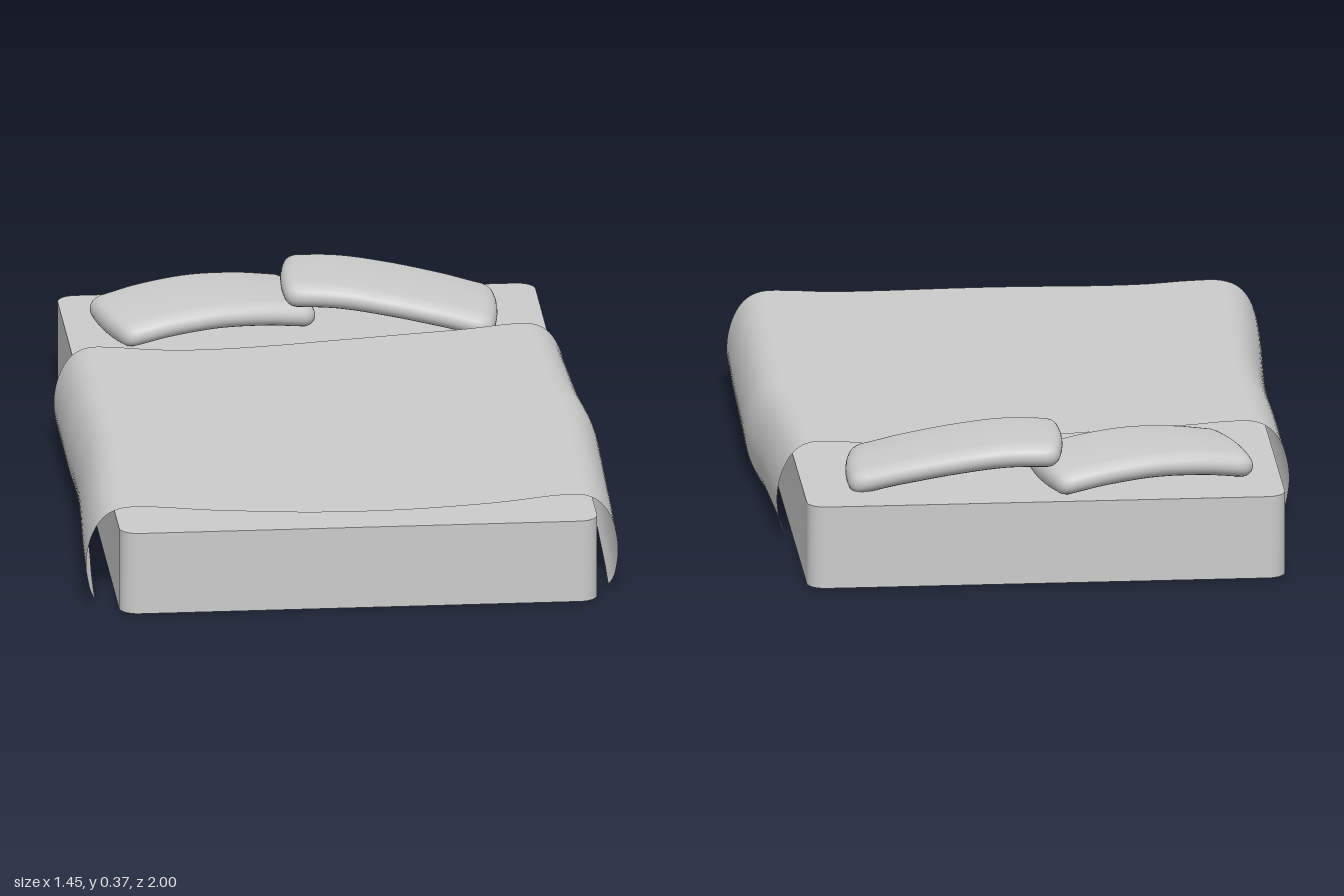
import * as THREE from 'three';
import { mergeVertices, toCreasedNormals } from 'three/addons/utils/BufferGeometryUtils.js';

const material = new THREE.MeshStandardMaterial({ color: 0xcccccc, side: THREE.DoubleSide });

function addMesh(parent, name, geometry) {
  const mesh = new THREE.Mesh(geometry, material);
  mesh.name = name;
  parent.add(mesh);
}

function surface(positions, index) {
  const g = new THREE.BufferGeometry();
  g.setAttribute('position', new THREE.Float32BufferAttribute(positions, 3));
  g.setIndex(index);
  g.computeVertexNormals();
  return g;
}

// Smooth function through evenly spaced values over [from, to]
function smoothCurve(from, to, values) {
  const spline = new THREE.SplineCurve(values.map((v, i) => new THREE.Vector2(i, v)));
  return x => spline.getPoint(THREE.MathUtils.clamp((x - from) / (to - from), 0, 1)).y;
}

// Mattress: rounded rectangle, open underneath
function createMattress() {
  const group = new THREE.Group();
  group.name = 'mattress';
  const w = 0.645, d = 1, r = 0.05, h = 0.228;
  const shape = new THREE.Shape();
  [[1, 1], [-1, 1], [-1, -1], [1, -1]].forEach(([sx, sy], i) => {
    shape.absarc(sx * (w - r), sy * (d - r), r, i * Math.PI / 2, (i + 1) * Math.PI / 2, false);
  });
  const top = new THREE.ShapeGeometry(shape, 4);
  top.rotateX(-Math.PI / 2).translate(0, h, 0);
  addMesh(group, 'mattressTop', top);

  const points = shape.getPoints(4), n = points.length;
  const positions = [], index = [];
  points.forEach((p, i) => {
    positions.push(p.x, 0, -p.y, p.x, h, -p.y);
    const a = 2 * i, b = 2 * ((i + 1) % n);
    index.push(a, b, b + 1, a, b + 1, a + 1);
  });
  addMesh(group, 'mattressSides', toCreasedNormals(surface(positions, index), 0.6));
  return group;
}

// Blanket: thin sheet with a draped cross-section and wavy borders
function createBlanket() {
  const half = [[0.2, 0.257], [0.4, 0.262], [0.54, 0.272], [0.62, 0.271], [0.67, 0.245],
    [0.702, 0.19], [0.715, 0.12], [0.707, 0.05], [0.69, 0.008]];
  const section = new THREE.SplineCurve([
    ...half.map(([x, y]) => new THREE.Vector2(-x, y)).reverse(),
    new THREE.Vector2(0, 0.256),
    ...half.map(([x, y]) => new THREE.Vector2(x, y)),
  ]).getPoints(90);
  const headEdge = smoothCurve(-0.7, 0.7, [-0.44, -0.427, -0.428, -0.455, -0.49, -0.517, -0.53, -0.53]);
  const footEdge = smoothCurve(-0.7, 0.7, [0.91, 0.915, 0.93, 0.948, 0.948, 0.932, 0.912, 0.908]);
  const leftReach = smoothCurve(-0.5, 0.9, [0.69, 0.697, 0.706, 0.722, 0.72, 0.716, 0.712, 0.706]);
  const rightReach = smoothCurve(-0.5, 0.9, [0.70, 0.70, 0.70, 0.697, 0.70, 0.71, 0.722, 0.73]);
  const rows = 40, positions = [], index = [], corner = 0.05;
  section.forEach((p, i) => {
    // Round the lower corners of the hanging sides
    const drop = Math.max(0, corner - p.y);
    const inset = corner - Math.sqrt(Math.max(0, corner * corner - drop * drop));
    const head = headEdge(p.x) + inset, foot = footEdge(p.x) - inset;
    const sideWeight = THREE.MathUtils.smoothstep(Math.abs(p.x), 0.45, 0.7);
    for (let j = 0; j <= rows; j++) {
      const z = head + (foot - head) * j / rows;
      const reach = p.x > 0 ? leftReach(z) : rightReach(z);
      positions.push(p.x + Math.sign(p.x) * sideWeight * (reach - 0.715), p.y, z);
      if (i < section.length - 1 && j < rows) {
        const a = i * (rows + 1) + j, c = a + rows + 1;
        index.push(a, a + 1, c, c, a + 1, c + 1);
      }
    }
  });
  return surface(positions, index);
}

// Pillow: rounded box stretched between four plan corners and bent along its length.
// corners are [x, z]: backRight, backLeft, frontRight, frontLeft
function createPillow(corners, heightAt) {
  const w = 0.275, h = 0.035, d = 0.15, r = 0.034;
  const geometry = new THREE.BoxGeometry(2 * w, 2 * h, 2 * d, 36, 8, 24);
  const pos = geometry.attributes.position;
  const p = new THREE.Vector3(), core = new THREE.Vector3();
  const limit = new THREE.Vector3(w - r, h - r, d - r);
  const low = limit.clone().negate();
  const mix = THREE.MathUtils.lerp;
  for (let i = 0; i < pos.count; i++) {
    p.fromBufferAttribute(pos, i);
    core.copy(p).clamp(low, limit);
    p.sub(core).setLength(r).add(core);
    const u = p.x / w, v = p.z / d, s = (u + 1) / 2, t = (v + 1) / 2;
    const plan = k => mix(mix(corners[0][k], corners[1][k], s), mix(corners[2][k], corners[3][k], s), t);
    // Ends and long edges bow out a little, the crown is fuller in the middle
    const x = plan(0) + 0.014 * u * (1 - v * v);
    const z = plan(1) + 0.012 * v * (1 - u * u);
    const y = heightAt(u) + p.y * (1.05 - 0.2 * v * v);
    pos.setXYZ(i, x, y, z);
  }
  geometry.deleteAttribute('normal');
  geometry.deleteAttribute('uv');
  const merged = mergeVertices(geometry, 1e-5);
  merged.computeVertexNormals();
  return merged;
}

export function createModel() {
  const model = new THREE.Group();
  model.name = 'bed';
  model.add(createMattress());
  addMesh(model, 'blanket', createBlanket());
  addMesh(model, 'rightPillow', createPillow(
    [[-0.575, -0.825], [-0.04, -0.975], [-0.495, -0.525], [0.03, -0.665]],
    smoothCurve(-1, 1, [0.257, 0.278, 0.287, 0.278, 0.258])));
  addMesh(model, 'leftPillow', createPillow(
    [[-0.035, -0.93], [0.52, -0.87], [-0.055, -0.63], [0.495, -0.56]],
    smoothCurve(-1, 1, [0.328, 0.327, 0.307, 0.278, 0.246])));
  return model;
}
